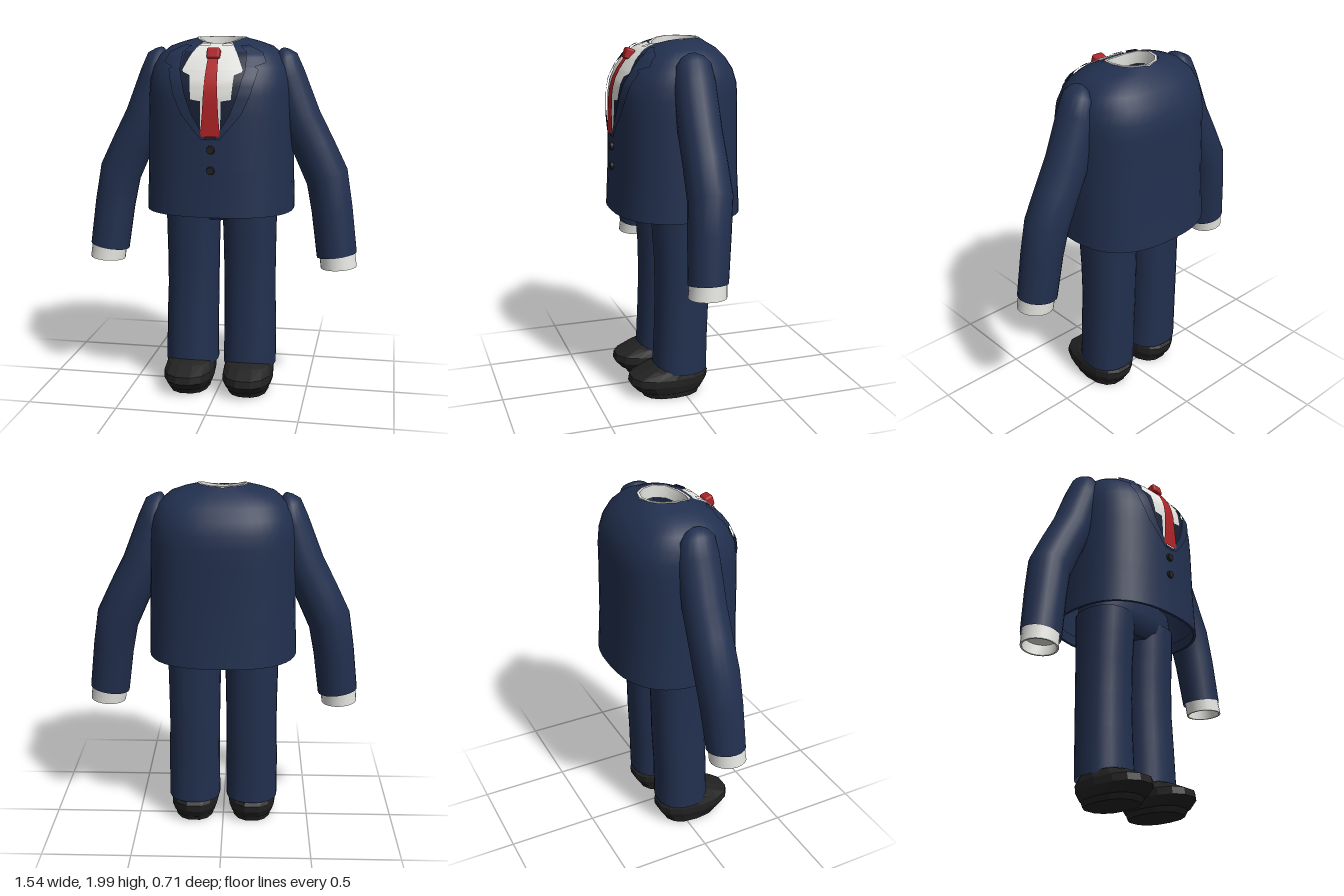
import * as THREE from 'three';
import { toCreasedNormals } from 'three/addons/utils/BufferGeometryUtils.js';
import { RoundedBoxGeometry } from 'three/addons/geometries/RoundedBoxGeometry.js';

const flat = (name, color, side = THREE.DoubleSide) => {
  const m = new THREE.MeshStandardMaterial({ color, side });
  m.name = name;
  return m;
};

// Point on a superellipse section: centre c, tilt a in the xy plane, radii rx and rz, exponent n
function sectionPoint({ c, a = 0, rx, rz, n = 2, dip = 0 }, t) {
  const pow = (v) => Math.sign(v) * Math.abs(v) ** (2 / n);
  const u = pow(Math.cos(t)) * rx, w = pow(Math.sin(t));
  return [c[0] + u * Math.cos(a), c[1] + u * Math.sin(a) - dip * Math.max(0, w) ** 2, c[2] + w * rz];
}

// Skin over sections listed from bottom to top; caps are optional
function loft(sections, segs, { crease = 0.8, capBottom = false, capTop = false } = {}) {
  const pos = [], idx = [], last = sections.length - 1;
  for (const s of sections)
    for (let j = 0; j < segs; j++) pos.push(...sectionPoint(s, (j / segs) * Math.PI * 2));
  for (let i = 0; i < last; i++)
    for (let j = 0; j < segs; j++) {
      const k = (j + 1) % segs, a = i * segs + j, b = i * segs + k;
      idx.push(a, a + segs, b, b, a + segs, b + segs);
    }
  const cap = (row, up) => {
    const mid = pos.length / 3;
    pos.push(...sections[row].c);
    for (let j = 0; j < segs; j++) {
      const a = row * segs + j, b = row * segs + ((j + 1) % segs);
      idx.push(mid, ...(up ? [b, a] : [a, b]));
    }
  };
  if (capBottom) cap(0, false);
  if (capTop) cap(last, true);
  const g = new THREE.BufferGeometry();
  g.setAttribute('position', new THREE.Float32BufferAttribute(pos, 3));
  g.setIndex(idx);
  return toCreasedNormals(g, crease);
}

// Jacket body: y, half width, front z, back z, dip of the front edge
const BODY = [
  [1.06, 0.41, 0.352, -0.355, 0], [1.3, 0.402, 0.34, -0.34, 0], [1.6, 0.396, 0.335, -0.335, 0],
  [1.7, 0.393, 0.33, -0.335, 0], [1.77, 0.388, 0.317, -0.328, 0], [1.84, 0.372, 0.28, -0.305, 0],
  [1.9, 0.34, 0.235, -0.265, 0], [1.95, 0.28, 0.185, -0.215, 0.01], [1.975, 0.21, 0.15, -0.175, 0.02],
  [1.99, 0.15, 0.125, -0.155, 0.03], [1.996, 0.13, 0.115, -0.145, 0.03],
];
const bodySection = ([y, rx, zf, zb, dip]) =>
  ({ c: [0, y, (zf + zb) / 2], rx, rz: (zf - zb) / 2, n: 2.5, dip });

function bodyAt(y) {
  let i = 0;
  while (i < BODY.length - 2 && y > BODY[i + 1][0]) i++;
  const f = (y - BODY[i][0]) / (BODY[i + 1][0] - BODY[i][0]);
  return bodySection(BODY[i].map((v, k) => THREE.MathUtils.lerp(v, BODY[i + 1][k], f)));
}

// Thin cloth lying on the jacket front; rows run from top to bottom as [y, x0, x1]
function drape(rows, off, cols = 6, sub = 6) {
  const pos = [], idx = [], w = cols + 1;
  let count = 0;
  const addRow = (y, x0, x1) => {
    const s = bodyAt(y);
    for (let j = 0; j <= cols; j++) {
      const x = THREE.MathUtils.lerp(x0, x1, j / cols);
      const d = Math.max(0, 1 - Math.min(1, Math.abs(x) / s.rx) ** s.n) ** (1 / s.n);
      pos.push(x, y - s.dip * d * d + off * 0.4, s.c[2] + s.rz * d + off);
    }
    count++;
  };
  rows.forEach((r, i) => {
    if (i === 0) return addRow(...r);
    for (let k = 1; k <= sub; k++)
      addRow(...r.map((v, m) => THREE.MathUtils.lerp(rows[i - 1][m], v, k / sub)));
  });
  for (let i = 0; i < count - 1; i++)
    for (let j = 0; j < cols; j++) {
      const a = i * w + j;
      idx.push(a, a + w, a + 1, a + 1, a + w, a + w + 1);
    }
  const g = new THREE.BufferGeometry();
  g.setAttribute('position', new THREE.Float32BufferAttribute(pos, 3));
  g.setIndex(idx);
  g.computeVertexNormals();
  return g;
}
const mirrored = (rows) => rows.map(([y, x]) => [y, -x, x]);

export function createModel() {
  const root = new THREE.Group();
  const navy = flat('navy cloth', 0x22304f);
  const lining = flat('dark navy lining', 0x172036);
  const white = flat('white cotton', 0xe4e4e0);
  const red = flat('red silk', 0xb02226);
  const black = flat('black leather', 0x222222);
  const add = (name, geo, mat, parent = root) => {
    const m = new THREE.Mesh(geo, mat);
    m.name = name;
    parent.add(m);
    return m;
  };

  // Jacket shell with a turned-in hem
  const hem = [[1.12, 0.392, 0.335, -0.338, 0], [1.06, 0.395, 0.337, -0.34, 0]];
  add('jacket', loft([...hem, ...BODY].map(bodySection), 40), navy);

  // Shirt front, lining and collar
  add('jacketLining', drape(mirrored([[1.93, 0.165], [1.83, 0.175], [1.7, 0.145], [1.6, 0.11], [1.47, 0.035]]), 0.003), lining);
  add('shirtFront', drape(mirrored([[1.994, 0.08], [1.95, 0.105], [1.83, 0.16], [1.82, 0.155], [1.805, 0.118],
    [1.68, 0.107], [1.672, 0.055], [1.49, 0.052]]), 0.007), white);
  const ring = (y, r) => ({ c: [0, y, -0.015], rx: r, rz: r + 0.002, dip: 0.035 });
  add('shirtCollar', loft([ring(1.95, 0.145), ring(1.998, 0.137), ring(1.998, 0.123), ring(1.93, 0.123)], 12), white);

  // Tie
  add('tieBlade', drape(mirrored([[1.91, 0.026], [1.88, 0.028], [1.6, 0.043], [1.5, 0.052], [1.485, 0.046]]), 0.015), red);
  const knot = add('tieKnot', new RoundedBoxGeometry(0.07, 0.06, 0.05, 2, 0.012), red);
  knot.position.set(0, 1.915, 0.24);
  knot.rotation.x = -0.3;

  // Jacket buttons
  for (const y of [1.42, 1.31]) {
    const b = add('jacketButton', new THREE.CylinderGeometry(0.02, 0.023, 0.016, 12), black);
    b.rotation.x = Math.PI / 2;
    b.position.set(0, y, 0.345);
  }

  // Hips joining the trouser legs
  add('trouserSeat', loft([[1.0, 0.2, 0.12], [1.05, 0.295, 0.16], [1.12, 0.31, 0.17], [1.2, 0.3, 0.165]]
    .map(([y, rx, rz]) => ({ c: [0, y, -0.005], rx, rz, n: 2.6 })), 28, { capBottom: true, capTop: true }), navy);

  for (const s of [1, -1]) {
    const side = s > 0 ? 'left' : 'right';

    // Lapel and collar tip
    add(side + 'Lapel', drape([[1.965, 0.13, 0.17], [1.92, 0.17, 0.25], [1.865, 0.172, 0.275], [1.845, 0.172, 0.22],
      [1.83, 0.172, 0.24], [1.7, 0.138, 0.205], [1.6, 0.1, 0.16], [1.47, 0.02, 0.05]]
      .map(([y, a, b]) => (s > 0 ? [y, a, b] : [y, -b, -a])), 0.012), navy);
    add(side + 'CollarTip', drape([[1.985, 0.035, 0.08], [1.965, 0.03, 0.09]]
      .map(([y, a, b]) => (s > 0 ? [y, a, b] : [y, -b, -a])), 0.014), white);

    // Sleeve: x, y, z, tilt, half width, half depth
    const limb = ([x, y, z, a, rx, rz]) => ({ c: [s * x, y, z], a: s * a, rx, rz });
    add(side + 'Sleeve', loft([
      [0.655, 0.808, 0.018, 0.16, 0.112, 0.105], [0.622, 1.06, 0.002, 0.19, 0.114, 0.113],
      [0.59, 1.24, -0.012, 0.41, 0.12, 0.118], [0.515, 1.4, -0.012, 0.45, 0.117, 0.116],
      [0.44, 1.55, -0.01, 0.46, 0.115, 0.115], [0.365, 1.78, -0.007, 0.46, 0.1, 0.111],
      [0.347, 1.88, -0.006, 0.46, 0.074, 0.093], [0.34, 1.922, -0.005, 0.35, 0.035, 0.06],
      [0.335, 1.94, -0.005, 0.3, 0.01, 0.02]].map(limb), 20, { crease: 1.2, capTop: true }), navy);

    // Shirt cuff, open at the hand
    add(side + 'Cuff', loft([
      [0.657, 0.8, 0.02, 0.1, 0.088, 0.088], [0.668, 0.738, 0.025, 0.08, 0.09, 0.09],
      [0.668, 0.738, 0.025, 0.08, 0.1, 0.1], [0.656, 0.83, 0.018, 0.16, 0.1, 0.098]].map(limb),
      20, { capBottom: true, capTop: true }), white);

    // Trouser leg: y, centre x, centre z, half width, half depth
    add(side + 'TrouserLeg', loft([
      [0.15, 0.168, 0.008, 0.15, 0.152], [0.4, 0.168, 0, 0.148, 0.148], [0.6, 0.164, -0.008, 0.145, 0.15],
      [0.8, 0.163, -0.008, 0.147, 0.153], [0.95, 0.162, -0.005, 0.15, 0.16], [1.1, 0.157, -0.005, 0.157, 0.165]]
      .map(([y, x, z, rx, rz]) => ({ c: [s * x, y, z], rx, rz, n: 2.3 })), 24, { capTop: true }), navy);

    // Faceted shoe: y, back z, front z, half width
    add(side + 'Shoe', loft([
      [0.01, -0.1, 0.23, 0.115], [0.04, -0.112, 0.25, 0.122], [0.045, -0.12, 0.265, 0.128],
      [0.09, -0.148, 0.307, 0.143], [0.13, -0.152, 0.3, 0.143], [0.17, -0.12, 0.21, 0.132], [0.192, -0.08, 0.15, 0.1]]
      .map(([y, zb, zf, rx]) => ({ c: [s * 0.17, y - 0.005, (zb + zf) / 2], rx, rz: (zf - zb) / 2, n: 2.4 })),
      14, { crease: 0.01, capBottom: true, capTop: true }), black);
  }
  return root;
}
